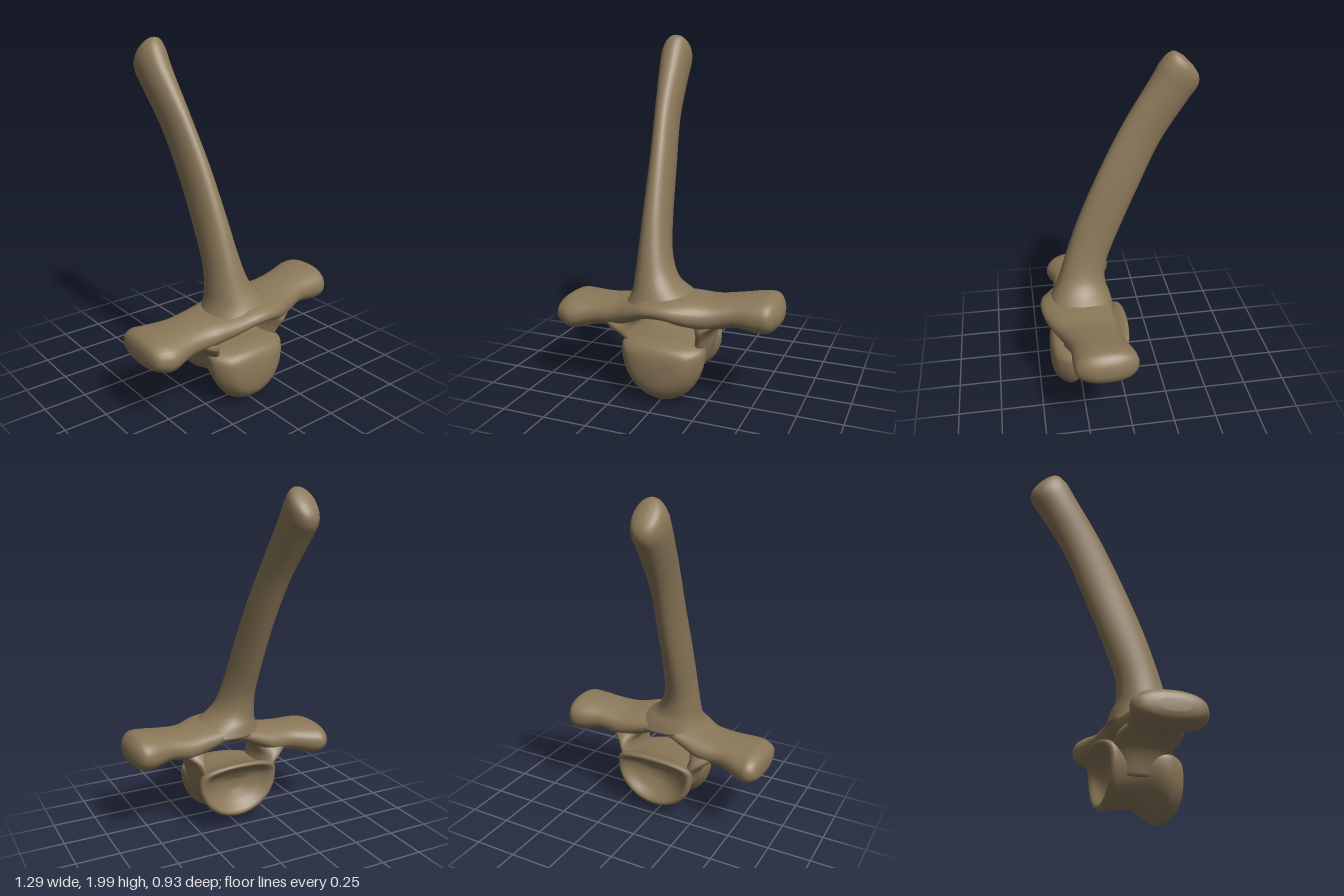
import * as THREE from 'three';

const bone = new THREE.MeshStandardMaterial({ color: 0x8b7859 });
bone.name = 'bone brown';

// Smooth (Catmull-Rom) blend between the rows of a section table.
function blendRows(rows, steps) {
  const out = [];
  const at = (i) => rows[Math.min(rows.length - 1, Math.max(0, i))];
  for (let i = 0; i < rows.length - 1; i++) {
    for (let s = 0; s < steps; s++) {
      const t = s / steps;
      out.push(rows[i].map((b, k) => {
        const a = at(i - 1)[k], c = at(i + 1)[k], d = at(i + 2)[k];
        return b + 0.5 * t * (c - a + t * (2 * a - 5 * b + 4 * c - d + t * (3 * (b - c) + d - a)));
      }));
    }
  }
  out.push(rows[rows.length - 1]);
  return out;
}

// Closed loft: place(row, cos, sin) gives one point of a cross-section.
function loft(name, rows, place, steps = 4, sides = 36) {
  const rings = blendRows(rows, steps);
  const pos = [], index = [];
  for (const row of rings) {
    for (let j = 0; j < sides; j++) {
      const a = (j / sides) * Math.PI * 2;
      pos.push(...place(row, Math.cos(a), Math.sin(a)));
    }
  }
  const n = rings.length;
  for (let i = 0; i < n - 1; i++) {
    for (let j = 0; j < sides; j++) {
      const k = (j + 1) % sides;
      const a = i * sides + j, b = i * sides + k, c = a + sides, d = b + sides;
      index.push(a, b, c, b, d, c);
    }
  }
  // End caps
  pos.push(...place(rings[0], 0, 0), ...place(rings[n - 1], 0, 0));
  for (let j = 0; j < sides; j++) {
    const k = (j + 1) % sides, e = (n - 1) * sides;
    index.push(n * sides, k, j, n * sides + 1, e + j, e + k);
  }
  // Turn the faces outward if the enclosed volume is negative
  let volume = 0;
  const p = (i) => new THREE.Vector3().fromArray(pos, index[i] * 3);
  for (let i = 0; i < index.length; i += 3) volume += p(i).dot(p(i + 1).cross(p(i + 2)));
  if (volume < 0) index.reverse();

  const geometry = new THREE.BufferGeometry();
  geometry.setAttribute('position', new THREE.Float32BufferAttribute(pos, 3));
  geometry.setIndex(index);
  geometry.computeVertexNormals();
  const mesh = new THREE.Mesh(geometry, bone);
  mesh.name = name;
  return mesh;
}

const soft = (v, e) => Math.sign(v) * Math.pow(Math.abs(v), e);

export function createModel() {
  const group = new THREE.Group();
  group.name = 'vertebra';

  // Body: domed front, narrow waist, hollow back with a raised upper lip
  // [z, half width, middle y, bottom y, top y, lip]
  group.add(loft('body', [
    [0.43, 0.03, 0.21, 0.18, 0.24, 0],
    [0.42, 0.12, 0.22, 0.1, 0.3, 0],
    [0.39, 0.19, 0.25, 0.045, 0.335, 0],
    [0.32, 0.242, 0.28, 0.0, 0.35, 0],
    [0.25, 0.238, 0.29, 0.04, 0.35, 0],
    [0.17, 0.215, 0.3, 0.078, 0.355, 0],
    [0.08, 0.225, 0.3, 0.07, 0.375, 0.01],
    [0.015, 0.25, 0.3, 0.06, 0.41, 0.04],
    [-0.005, 0.22, 0.29, 0.09, 0.39, 0.04],
    [0.04, 0.15, 0.26, 0.14, 0.34, 0.01],
    [0.075, 0.04, 0.24, 0.21, 0.27, 0],
  ], ([z, w, yc, yb, yt, lip], c, s) => [
    w * c,
    s > 0 ? yc + (yt - yc) * Math.pow(s, 0.6) : yc + (yc - yb) * s,
    z - lip * Math.max(0, s),
  ]));

  // Arch roof with both side processes, running from right to left
  // [x, bottom y, top y, back z, front z]
  group.add(loft('archAndSideProcesses', [
    [-0.65, 0.4, 0.46, 0.12, 0.27],
    [-0.635, 0.365, 0.5, 0.03, 0.35],
    [-0.59, 0.337, 0.525, -0.008, 0.385],
    [-0.53, 0.332, 0.53, 0.005, 0.4],
    [-0.4, 0.37, 0.535, 0.05, 0.37],
    [-0.27, 0.385, 0.545, 0.04, 0.38],
    [-0.16, 0.435, 0.57, 0.05, 0.43],
    [-0.06, 0.478, 0.6, 0.06, 0.465],
    [0.05, 0.483, 0.61, 0.055, 0.468],
    [0.15, 0.45, 0.61, 0.045, 0.44],
    [0.27, 0.425, 0.6, 0.03, 0.375],
    [0.4, 0.447, 0.615, 0.02, 0.335],
    [0.52, 0.428, 0.632, -0.018, 0.335],
    [0.59, 0.435, 0.63, -0.012, 0.325],
    [0.63, 0.475, 0.595, 0.06, 0.27],
    [0.645, 0.51, 0.555, 0.13, 0.22],
  ], ([x, yb, yt, zb, zf], c, s) => [
    x,
    (yb + yt) / 2 + ((yt - yb) / 2) * soft(s, 0.9),
    (zb + zf) / 2 + ((zf - zb) / 2) * soft(c, 0.85),
  ]));

  // Pillars between body and arch: [y, inner x, outer x, back z, front z]
  const pillar = ([y, xi, xo, zb, zf], c, s) => [
    (xi + xo) / 2 + ((xo - xi) / 2) * c, y, (zb + zf) / 2 + ((zf - zb) / 2) * soft(s, 0.85),
  ];
  group.add(loft('leftPillar', [
    [0.2, 0.1, 0.215, 0.05, 0.25],
    [0.3, 0.15, 0.245, 0.02, 0.3],
    [0.37, 0.175, 0.255, 0.0, 0.33],
    [0.43, 0.175, 0.29, 0.01, 0.36],
    [0.48, 0.13, 0.38, 0.05, 0.34],
    [0.53, 0.1, 0.42, 0.08, 0.3],
  ], pillar));
  group.add(loft('rightPillar', [
    [0.2, -0.1, -0.21, 0.05, 0.25],
    [0.29, -0.15, -0.24, 0.02, 0.3],
    [0.35, -0.18, -0.28, 0.01, 0.34],
    [0.4, -0.185, -0.35, 0.02, 0.37],
    [0.45, -0.15, -0.43, 0.06, 0.35],
    [0.5, -0.12, -0.45, 0.09, 0.3],
  ], pillar));

  // Tall spine sweeping backward: [x, y, z, half width, half depth, tilt]
  group.add(loft('spine', [
    [0.0, 0.535, 0.24, 0.23, 0.2, 0],
    [-0.025, 0.6, 0.225, 0.175, 0.17, 0.03],
    [-0.068, 0.68, 0.212, 0.12, 0.138, 0.15],
    [-0.09, 0.82, 0.18, 0.09, 0.122, 0.35],
    [-0.105, 1.02, 0.105, 0.076, 0.124, 0.43],
    [-0.123, 1.29, -0.015, 0.067, 0.123, 0.45],
    [-0.15, 1.55, -0.147, 0.066, 0.117, 0.48],
    [-0.172, 1.78, -0.298, 0.082, 0.12, 0.52],
    [-0.174, 1.87, -0.355, 0.085, 0.124, 0.62],
    [-0.168, 1.925, -0.385, 0.066, 0.1, 0.74],
    [-0.162, 1.942, -0.397, 0.02, 0.04, 0.78],
  ], ([x, y, z, w, d, t], c, s) => [
    x + w * soft(c, 0.9), y + d * s * Math.sin(t), z + d * s * Math.cos(t),
  ]));

  return group;
}
